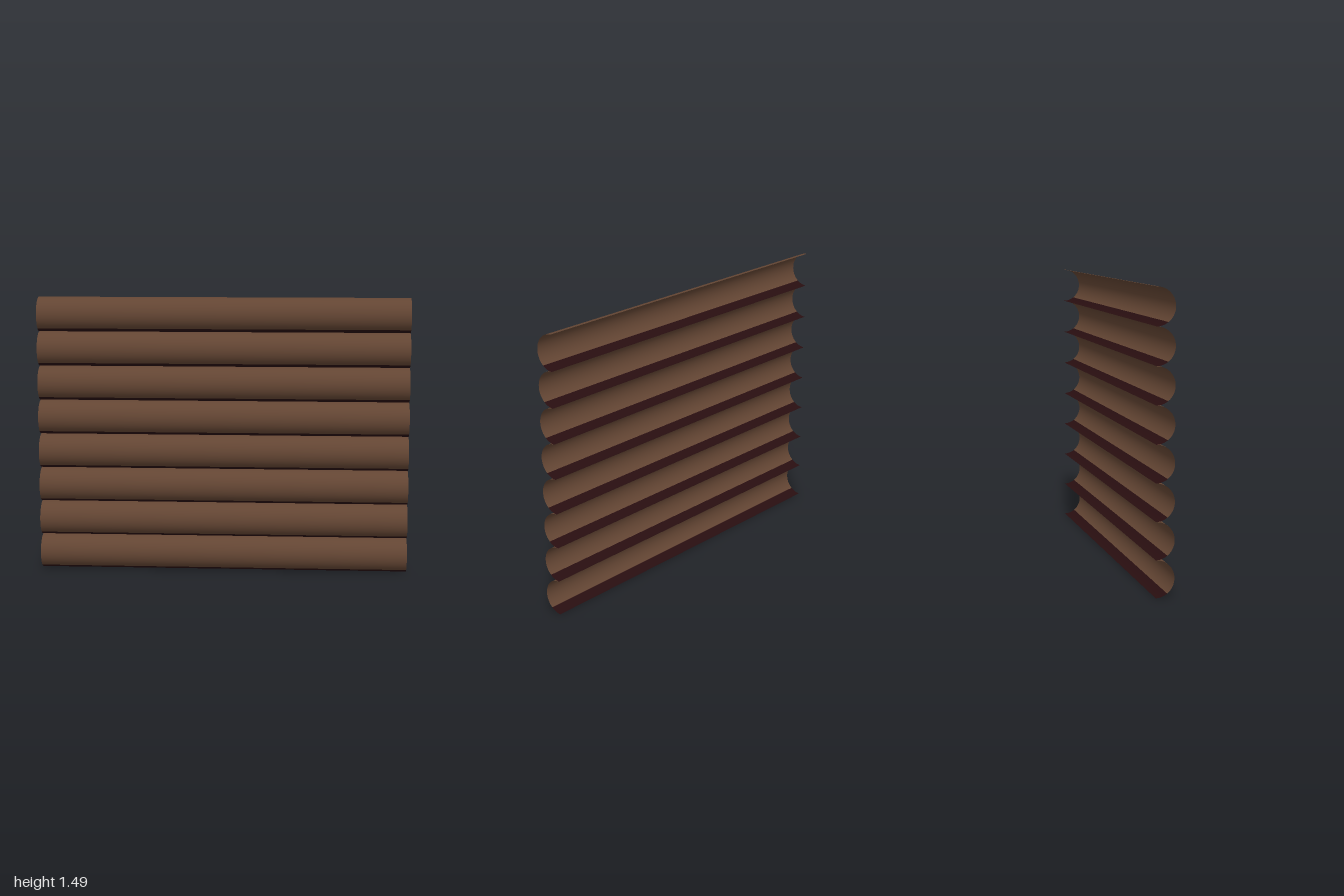
import * as THREE from 'three';

export function createModel() {
  const model = new THREE.Group();
  model.name = 'logWall';

  const bark = new THREE.MeshStandardMaterial({ name: 'barkBrown', color: 0x634533, side: THREE.DoubleSide });
  const gap = new THREE.MeshStandardMaterial({ name: 'darkGap', color: 0x280e10, side: THREE.DoubleSide });

  const COUNT = 8, LENGTH = 2, PITCH = 1.494 / COUNT, R = PITCH / 2;
  const LIP = 0.66; // angle of the dark underside strip

  // open arc of a cylinder lying along x; angle 0 faces front, -90 degrees faces down
  const arc = (start, sweep, segments) =>
    new THREE.CylinderGeometry(R, R, LENGTH, segments, 1, true, start, sweep).rotateZ(Math.PI / 2);

  const faceGeo = arc(-Math.PI / 2 + LIP, Math.PI - LIP, 18);
  const lipGeo = arc(-Math.PI / 2, LIP, 6);

  for (let i = 0; i < COUNT; i++) {
    const log = new THREE.Group();
    log.name = `log${i + 1}`;
    const face = new THREE.Mesh(faceGeo, bark);
    face.name = 'logFace';
    const lip = new THREE.Mesh(lipGeo, gap);
    lip.name = 'logUnderside';
    log.add(face, lip);
    log.position.set(0, R + i * PITCH, -R / 2);
    model.add(log);
  }
  return model;
}
